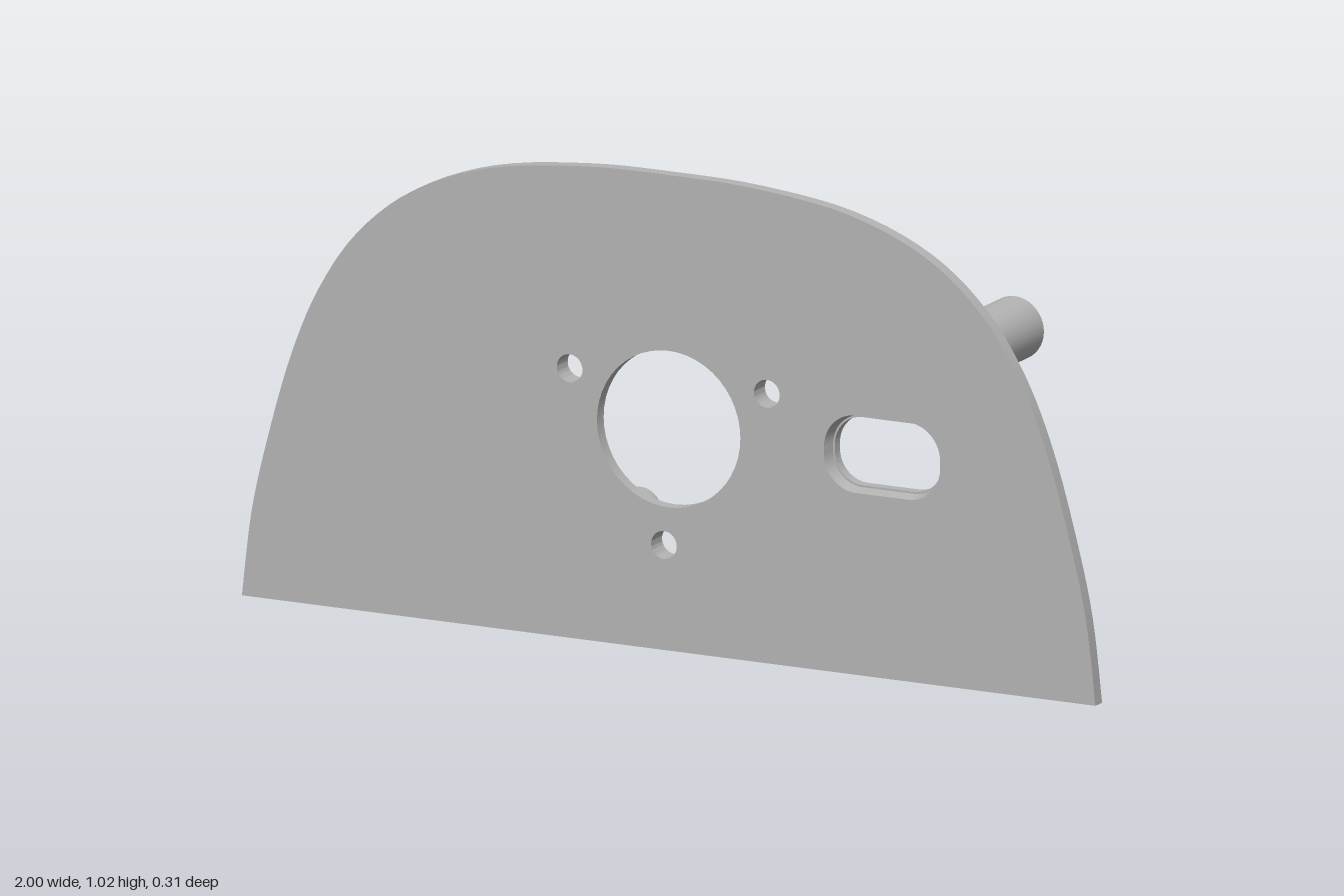
import * as THREE from 'three';
import { toCreasedNormals, mergeVertices } from 'three/addons/utils/BufferGeometryUtils.js';

const FRONT = 0.155, BACK = 0.125; // z of the two plate faces

export function createModel() {
  const model = new THREE.Group();
  const grey = new THREE.MeshStandardMaterial({ color: 0xb4b4b4 });
  grey.name = 'grey plastic';

  const add = (name, geometry) => {
    const mesh = new THREE.Mesh(geometry, grey);
    mesh.name = name;
    model.add(mesh);
    return mesh;
  };

  // Extrude a shape between two z levels
  const slab = (shape, z0, z1) => {
    const g = new THREE.ExtrudeGeometry(shape, { depth: z1 - z0, bevelEnabled: false, curveSegments: 24 });
    g.translate(0, 0, z0);
    return toCreasedNormals(g, 0.5);
  };

  const circle = (x, y, r, Type = THREE.Path) => new Type().absarc(x, y, r, 0, Math.PI * 2, false);

  // Rounded slot outline with half sizes w and h
  const slot = (w, h, r, Type = THREE.Path) => {
    const cx = 0.5, cy = 0.473, p = new Type();
    p.absarc(cx + w - r, cy + h - r, r, 0, Math.PI / 2, false);
    p.absarc(cx - w + r, cy + h - r, r, Math.PI / 2, Math.PI, false);
    p.absarc(cx - w + r, cy - h + r, r, Math.PI, Math.PI * 1.5, false);
    p.absarc(cx + w - r, cy - h + r, r, Math.PI * 1.5, Math.PI * 2, false);
    p.closePath();
    return p;
  };

  // Domed faceplate with its openings
  const half = [[1, 0], [0.978, 0.18], [0.94, 0.345], [0.885, 0.53], [0.82, 0.68], [0.73, 0.81],
    [0.6, 0.915], [0.42, 0.985], [0.2, 1.015]];
  const dome = [...half, [0, 1.02], ...half.map(([x, y]) => [-x, y]).reverse()]
    .map(([x, y]) => new THREE.Vector2(x, y));
  const plate = new THREE.Shape(new THREE.SplineCurve(dome).getPoints(90));
  const screwHoles = [[-0.232, 0.578], [0.23, 0.578], [-0.011, 0.225]];
  plate.holes.push(circle(0, 0.475, 0.168), slot(0.136, 0.083, 0.075));
  for (const [x, y] of screwHoles) plate.holes.push(circle(x, y, 0.03));
  add('faceplate', slab(plate, BACK, FRONT));

  // Raised rings behind the screw holes
  for (const [x, y] of screwHoles) {
    const ring = circle(x, y, 0.059, THREE.Shape);
    ring.holes.push(circle(x, y, 0.03));
    add('screwRing', slab(ring, 0.106, BACK));
  }

  // Hollow standoff with chamfered tip, pointing backwards
  const standoff = (name, x, y, r, length, bore) => {
    const c = 0.012;
    const profile = [[r, 0], [r, length - c], [r - c, length], [bore + 0.008, length],
      [bore, length - 0.008], [bore, length * 0.3], [0, length * 0.3]]
      .map(([a, b]) => new THREE.Vector2(a, b));
    const g = toCreasedNormals(new THREE.LatheGeometry(profile, 40), 0.5);
    g.rotateX(-Math.PI / 2);
    add(name, g).position.set(x, y, BACK);
  };
  for (const x of [-0.66, 0.657]) {
    for (const y of [0.703, 0.182]) standoff('largeStandoff', x, y, 0.068, 0.278, 0.032);
  }
  for (const x of [-0.166, 0.144]) {
    for (const y of [0.716, 0.238]) standoff('smallStandoff', x, y, 0.05, 0.175, 0.023);
  }

  // Rim behind the slot
  const rim = slot(0.15, 0.092, 0.085, THREE.Shape);
  rim.holes.push(slot(0.126, 0.073, 0.066));
  add('slotRim', slab(rim, 0.102, BACK));

  // Tapered wall lining the slot
  const outer = slot(0.136, 0.083, 0.075).getPoints(12);
  const inner = slot(0.126, 0.073, 0.066).getPoints(12);
  const n = Math.min(outer.length, inner.length), pos = [], index = [];
  for (let i = 0; i < n; i++) {
    pos.push(outer[i].x, outer[i].y, FRONT, inner[i].x, inner[i].y, 0.102);
    const a = i * 2, b = ((i + 1) % n) * 2;
    index.push(a, b, a + 1, b, b + 1, a + 1);
  }
  const lining = new THREE.BufferGeometry();
  lining.setAttribute('position', new THREE.Float32BufferAttribute(pos, 3));
  lining.setIndex(index);
  const liningGeometry = mergeVertices(lining);
  liningGeometry.computeVertexNormals();
  add('slotLining', liningGeometry);

  // Bracket ears with screw bores either side of the slot
  const earY = 0.431, earR = 0.056;
  for (const s of [-1, 1]) {
    const cx = 0.5 + s * 0.225, wall = 0.5 + s * 0.16;
    const ear = new THREE.Shape();
    ear.moveTo(wall, earY - s * earR);
    ear.absarc(cx, earY, earR, -s * Math.PI / 2, s * Math.PI / 2, false);
    ear.lineTo(wall, earY + s * earR);
    ear.closePath();
    ear.holes.push(circle(cx, earY, 0.025));
    add(s > 0 ? 'leftEar' : 'rightEar', slab(ear, 0.068, BACK));
  }

  // Bracket walls and stepped bottom ledge
  const box = (name, x0, x1, y0, y1, z0) => {
    add(name, new THREE.BoxGeometry(x1 - x0, y1 - y0, BACK - z0))
      .position.set((x0 + x1) / 2, (y0 + y1) / 2, (z0 + BACK) / 2);
  };
  box('leftWall', 0.65, 0.68, 0.322, 0.553, 0.068);
  box('rightWall', 0.32, 0.35, 0.322, 0.487, 0.068);
  box('bottomLedge', 0.34, 0.66, 0.31, 0.345, 0.084);
  box('ledgeStep', 0.35, 0.65, 0.345, 0.375, 0.105);

  return model;
}
